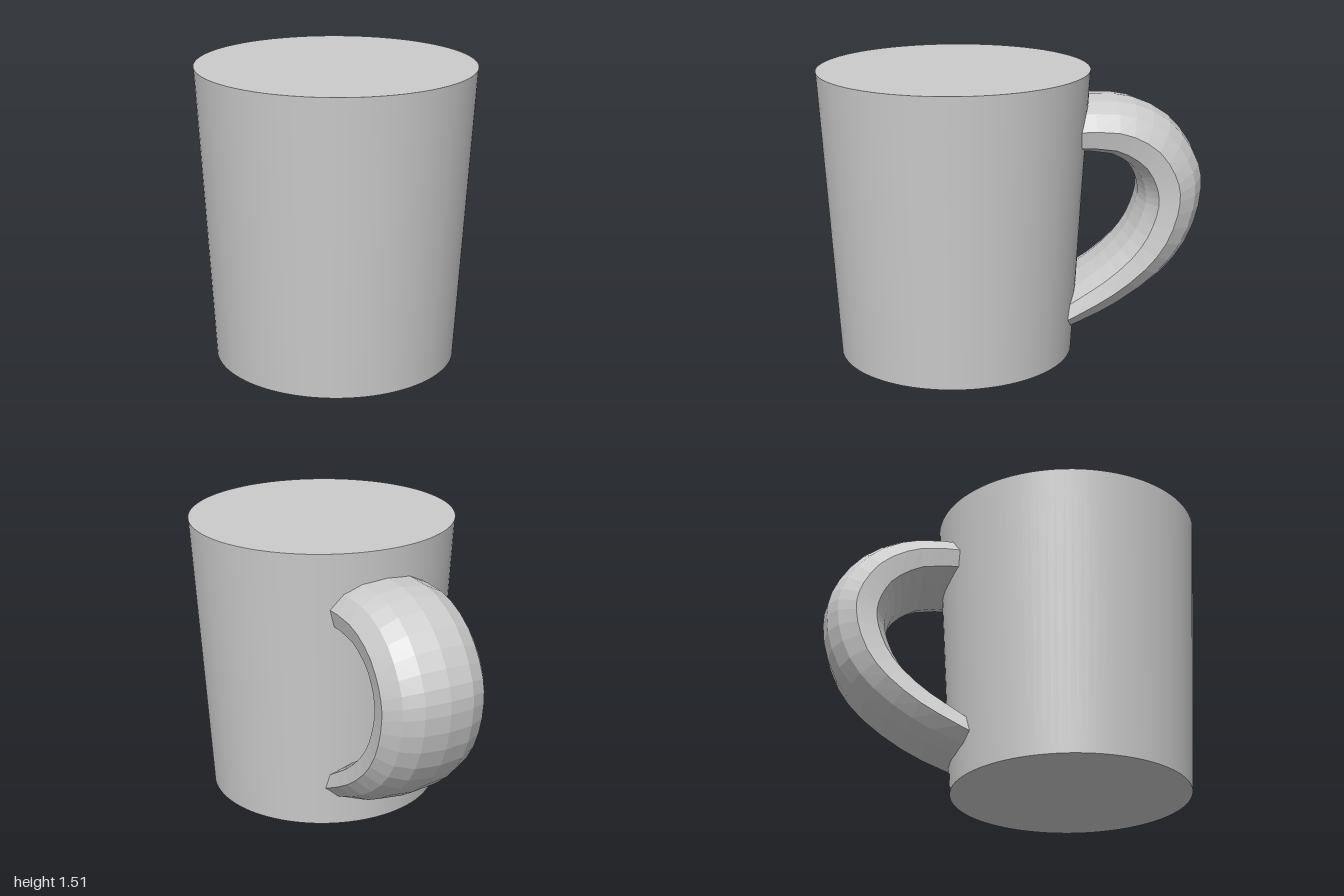
import * as THREE from 'three';

// Closed tube lofted through rings of points; ends stay open (buried in the body)
function loft(rings) {
  const n = rings[0].length;
  const index = [];
  for (let i = 0; i < rings.length - 1; i++) {
    for (let k = 0; k < n; k++) {
      const a = i * n + k, b = i * n + (k + 1) % n;
      index.push(a, b, a + n, b, b + n, a + n);
    }
  }
  const geo = new THREE.BufferGeometry().setFromPoints(rings.flat());
  geo.setIndex(index);
  const flat = geo.toNonIndexed();
  flat.computeVertexNormals();
  return flat;
}

function createHandle() {
  // Side profile: outer and inner edges, each point as [z, y], from top to bottom
  const outer = [[-0.25, 1.35], [-0.5, 1.36], [-0.66, 1.33], [-0.82, 1.24], [-0.93, 1.11], [-0.99, 0.98], [-1, 0.87],
    [-0.975, 0.71], [-0.9, 0.54], [-0.78, 0.4], [-0.6, 0.265], [-0.42, 0.17], [-0.2, 0.09]];
  const inner = [[-0.25, 1.08], [-0.48, 1.065], [-0.57, 1.02], [-0.63, 0.965], [-0.66, 0.9], [-0.67, 0.85], [-0.67, 0.8],
    [-0.65, 0.73], [-0.615, 0.65], [-0.55, 0.56], [-0.45, 0.465], [-0.34, 0.385], [-0.16, 0.26]];
  const toCurve = (pts) => new THREE.CatmullRomCurve3(pts.map(([z, y]) => new THREE.Vector3(0, y, z)));
  const outerCurve = toCurve(outer), innerCurve = toCurve(inner);

  // Cross-section as [half width, fraction from outer to inner edge], mirrored to both sides
  const half = [[0, 0], [0.13, 0.05], [0.22, 0.21], [0.28, 0.49], [0.26, 0.81], [0.15, 0.95], [0, 1]];
  const section = [...half, ...half.slice(1, -1).reverse().map(([x, t]) => [-x * 1.04, t])];

  const steps = 20;
  const rings = [];
  for (let i = 0; i <= steps; i++) {
    const o = outerCurve.getPoint(i / steps), q = innerCurve.getPoint(i / steps);
    rings.push(section.map(([x, t]) => o.clone().lerp(q, t).setX(x)));
  }
  const material = new THREE.MeshStandardMaterial({ color: 0xcccccc, flatShading: true, side: THREE.DoubleSide });
  const handle = new THREE.Mesh(loft(rings), material);
  handle.name = 'handle';
  return handle;
}

export function createModel() {
  const model = new THREE.Group();
  model.name = 'mug';

  // Solid tapered body
  const height = 1.51;
  const body = new THREE.Mesh(
    new THREE.CylinderGeometry(0.7, 0.616, height, 96),
    new THREE.MeshStandardMaterial({ color: 0xcccccc }));
  body.name = 'body';
  body.position.set(0, height / 2, 0.3);

  model.add(body, createHandle());
  return model;
}
